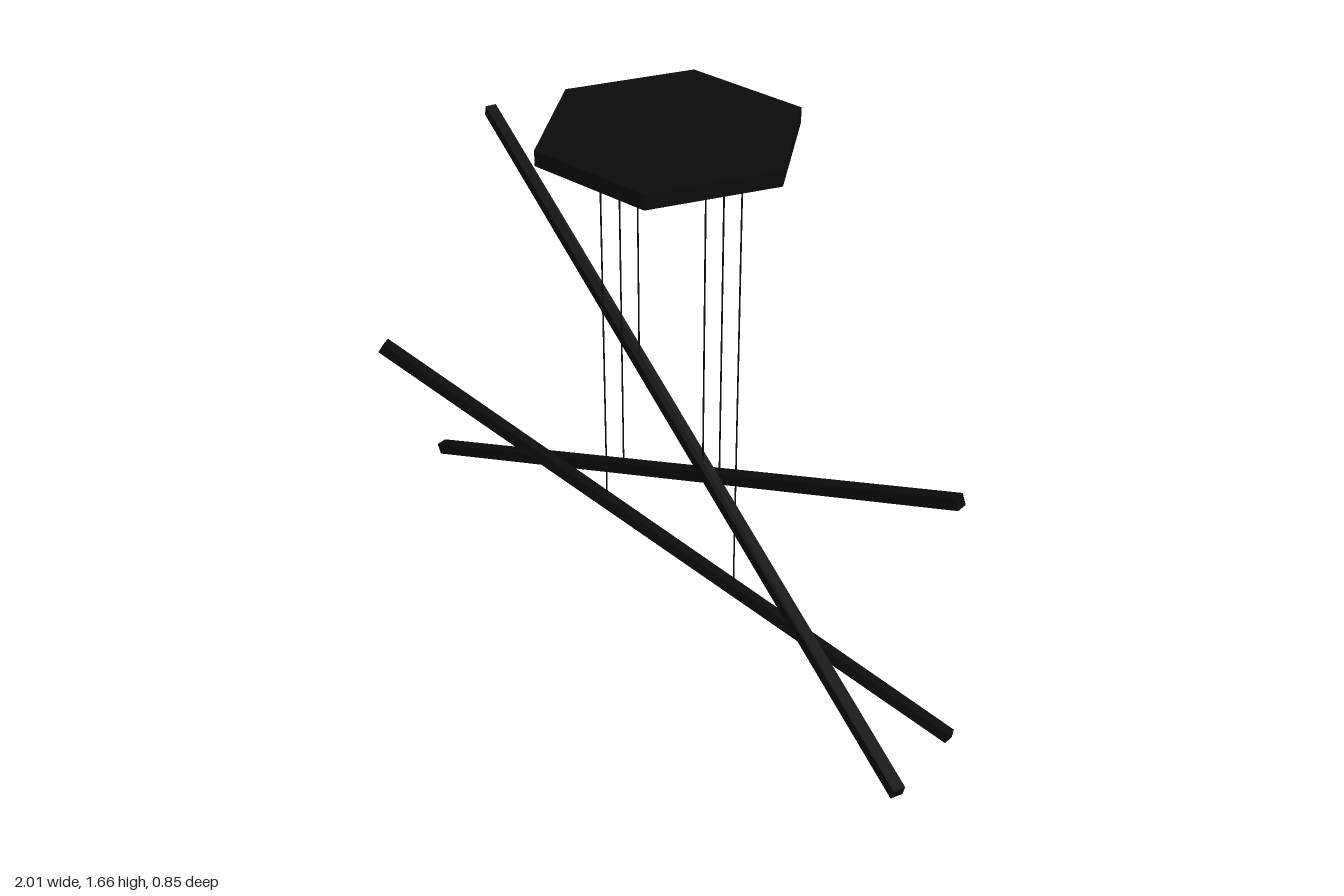
import * as THREE from 'three';

const black = new THREE.MeshStandardMaterial({ color: 0x0b0b0b });
const CANOPY_BOTTOM = 1.618, CANOPY_HEIGHT = 0.038, BAR = 0.03, WIRE_X = 0.157;

function addMesh(parent, name, geometry) {
  const mesh = new THREE.Mesh(geometry, black);
  mesh.name = name;
  parent.add(mesh);
  return mesh;
}

// Small ceiling grip: a collar tapering to the wire
const gripProfile = [[0, -0.042], [0.003, -0.042], [0.004, -0.018], [0.009, -0.008], [0.011, 0]]
  .map(([r, y]) => new THREE.Vector2(r, y));

// Square light bar through (0, y, 0), with its +x end at the given offset, hung on two wires
function lightBar(name, y, end) {
  const group = new THREE.Group();
  group.name = name;

  const bar = addMesh(group, 'bar', new THREE.BoxGeometry(BAR, BAR, 2 * end.length()));
  bar.position.y = y;
  bar.lookAt(end.x, y + end.y, end.z);

  for (const side of [-1, 1]) {
    const anchor = end.clone().multiplyScalar(side * WIRE_X / end.x);
    const bottom = y + anchor.y;
    const length = CANOPY_BOTTOM - bottom;

    const wire = addMesh(group, 'wire', new THREE.CylinderGeometry(0.002, 0.002, length, 8));
    wire.position.set(anchor.x, bottom + length / 2, anchor.z);

    const grip = addMesh(group, 'wireGrip', new THREE.LatheGeometry(gripProfile, 16));
    grip.position.set(anchor.x, CANOPY_BOTTOM, anchor.z);
  }
  return group;
}

export function createModel() {
  const model = new THREE.Group();
  model.name = 'pendantLamp';

  // Hexagonal ceiling canopy with corners on the x axis
  const hexagon = new THREE.CylinderGeometry(0.32, 0.32, CANOPY_HEIGHT, 6).toNonIndexed();
  hexagon.computeVertexNormals();
  const canopy = addMesh(model, 'canopy', hexagon);
  canopy.rotation.y = Math.PI / 6;
  canopy.position.y = CANOPY_BOTTOM + CANOPY_HEIGHT / 2;

  // Three crossing bars at different heights
  model.add(
    lightBar('upperBar', 0.888, new THREE.Vector3(0.993, -0.358, 0.411)),
    lightBar('middleBar', 0.707, new THREE.Vector3(0.838, 0.304, 0)),
    lightBar('lowerBar', 0.475, new THREE.Vector3(0.705, -0.462, -0.297)),
  );
  return model;
}
